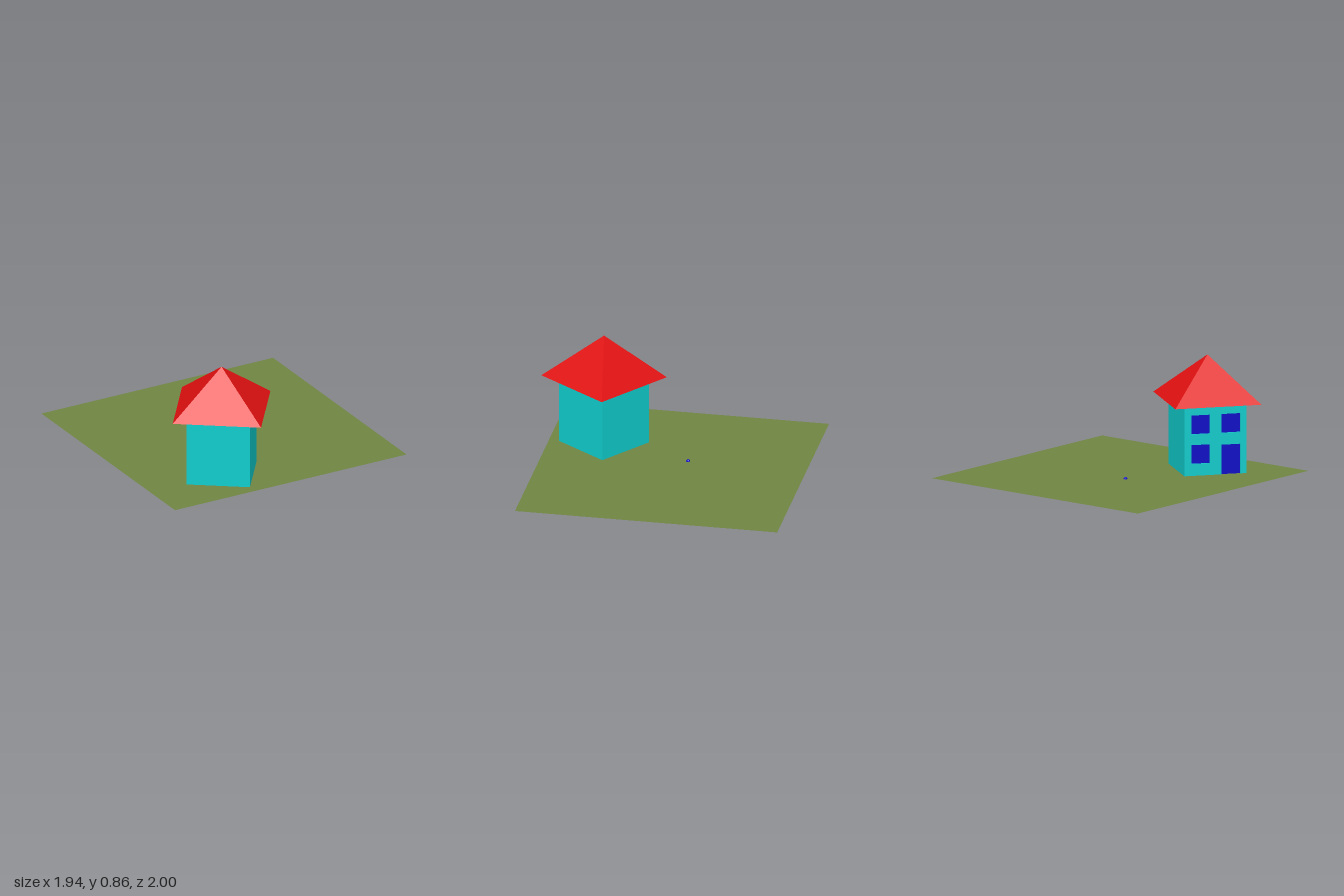
import * as THREE from 'three';

const paint = (name, color, extra = {}) => {
  const m = new THREE.MeshStandardMaterial({ color, ...extra });
  m.name = name;
  return m;
};

export function createModel() {
  const grass = paint('grass green', 0x6f8443, { side: THREE.DoubleSide });
  const teal = paint('wall teal', 0x10cccc);
  const red = paint('roof red', 0xe01010, { flatShading: true });
  const blue = paint('window blue', 0x0c0cc8, { flatShading: true });

  const model = new THREE.Group();
  const add = (parent, name, geometry, material, x = 0, y = 0, z = 0) => {
    const mesh = new THREE.Mesh(geometry, material);
    mesh.name = name;
    mesh.position.set(x, y, z);
    parent.add(mesh);
    return mesh;
  };

  // flat lawn
  const lawn = add(model, 'lawn', new THREE.PlaneGeometry(1.944, 1.944), grass, 0, 0.015, -0.028);
  lawn.rotation.x = -Math.PI / 2;

  // small ball lying on the lawn
  add(model, 'ball', new THREE.SphereGeometry(0.015, 8, 6), blue, -0.13, 0.015, -0.122);

  // house, turned on the lawn
  const house = new THREE.Group();
  house.name = 'house';
  house.position.set(-0.351, 0.0135, 0.545);
  house.rotation.y = -Math.PI / 5;
  model.add(house);

  const side = 0.465, height = 0.523, thick = 0.03, half = side / 2;

  // plain walls
  add(house, 'backWall', new THREE.BoxGeometry(thick, height, side), teal, half - thick / 2, height / 2, 0);
  for (const s of [-1, 1]) {
    add(house, 'sideWall', new THREE.BoxGeometry(side - 2 * thick, height, thick), teal,
      0, height / 2, s * (half - thick / 2));
  }

  // entrance wall with a doorway notch and three window holes
  const entrance = new THREE.Group();
  entrance.name = 'entrance';
  entrance.rotation.y = -Math.PI / 2;
  house.add(entrance);

  const w = 0.14, leftX = -0.18, rightX = 0.047, doorTop = 0.222;
  const outline = new THREE.Shape([
    [-half, 0], [rightX, 0], [rightX, doorTop], [rightX + w, doorTop], [rightX + w, 0],
    [half, 0], [half, height], [-half, height],
  ].map(([x, y]) => new THREE.Vector2(x, y)));
  const windows = [[leftX, 0.09], [leftX, 0.31], [rightX, 0.31]];
  for (const [x, y] of windows) {
    outline.holes.push(new THREE.Path([
      new THREE.Vector2(x, y), new THREE.Vector2(x, y + w),
      new THREE.Vector2(x + w, y + w), new THREE.Vector2(x + w, y),
    ]));
  }
  add(entrance, 'entranceWall', new THREE.ExtrudeGeometry(outline, { depth: thick, bevelEnabled: false }),
    teal, 0, 0, half - thick);

  // panes and door set halfway into the wall
  const paneZ = half - thick / 2;
  for (const [x, y] of windows) {
    add(entrance, 'windowPane', new THREE.BoxGeometry(w, w, 0.008), blue, x + w / 2, y + w / 2, paneZ);
  }
  add(entrance, 'door', new THREE.BoxGeometry(w, doorTop, 0.008), blue, rightX + w / 2, doorTop / 2, paneZ);

  // pyramid roof with wide eaves
  const roof = add(house, 'roof', new THREE.ConeGeometry(0.457, 0.325, 4), red, 0, height + 0.1625, 0);
  roof.rotation.y = Math.PI / 4;

  return model;
}
